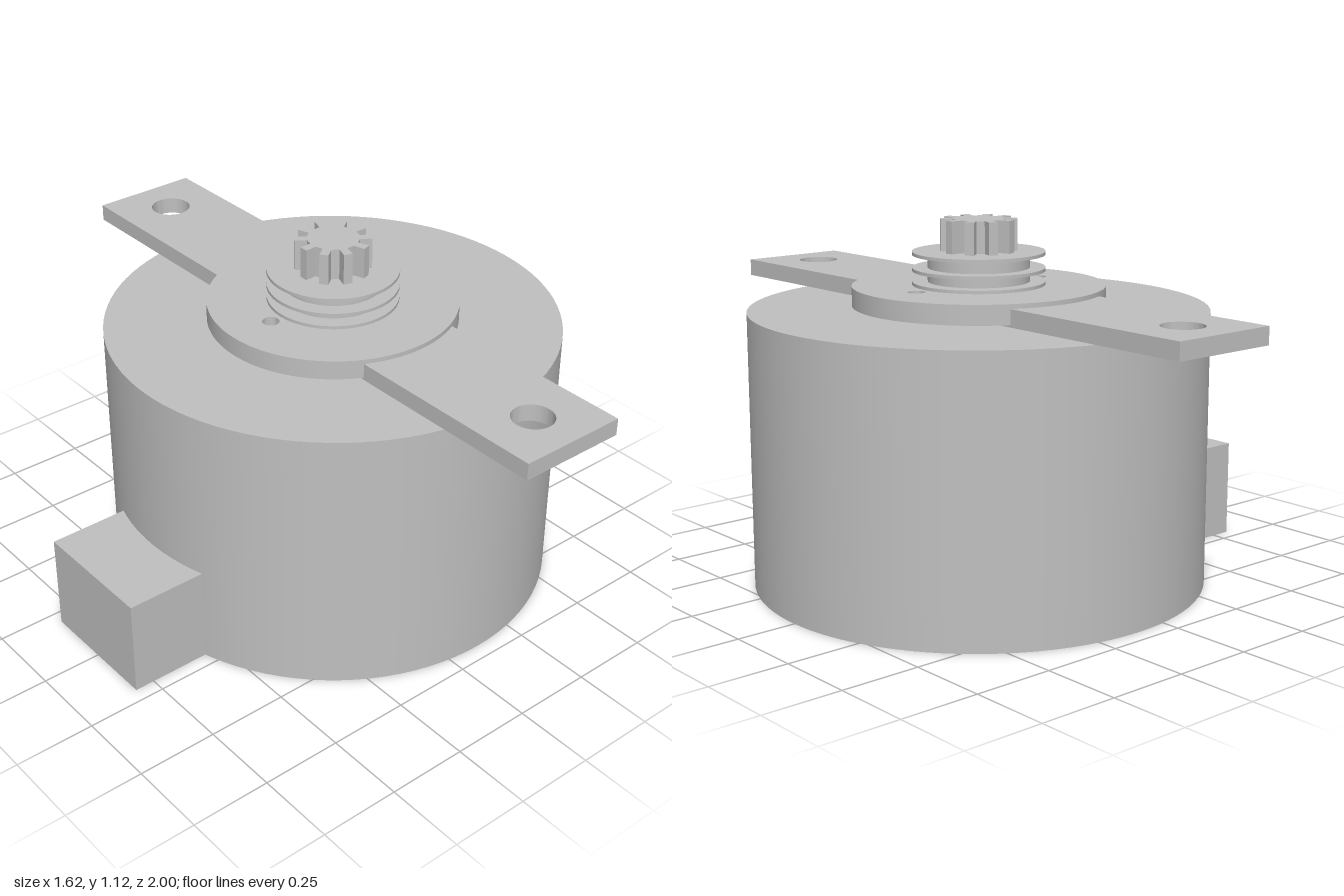
import * as THREE from 'three';
import { toCreasedNormals } from 'three/addons/utils/BufferGeometryUtils.js';

const AXIS_X = 0.11; // motor axis offset

export function createModel() {
  const model = new THREE.Group();
  model.name = 'gearedMotor';
  const grey = new THREE.MeshStandardMaterial({ color: 0xc0c0c0 });
  grey.name = 'grey metal';

  const add = (name, geometry, x = AXIS_X, y = 0, z = 0) => {
    const mesh = new THREE.Mesh(geometry, grey);
    mesh.name = name;
    mesh.position.set(x, y, z);
    model.add(mesh);
    return mesh;
  };
  const disc = (name, r, y0, y1) =>
    add(name, new THREE.CylinderGeometry(r, r, y1 - y0, 96), AXIS_X, (y0 + y1) / 2);
  const hole = (x, y, r) => new THREE.Path().absarc(x, y, r, 0, Math.PI * 2, true);
  // flat shape extruded upwards
  const slab = (name, shape, y0, y1) => {
    const g = new THREE.ExtrudeGeometry(shape, { depth: y1 - y0, bevelEnabled: false, curveSegments: 48 });
    g.rotateX(-Math.PI / 2);
    return add(name, toCreasedNormals(g, 0.5), AXIS_X, y0);
  };

  // main can and side cable housing
  disc('motorBody', 0.70, 0, 0.85);
  add('cableHousing', new THREE.BoxGeometry(0.31, 0.31, 0.41), -0.658, 0.155, 0);

  // mounting strap with a screw hole at each end
  const strap = new THREE.Shape();
  strap.moveTo(-0.173, -1);
  strap.lineTo(0.173, -1);
  strap.lineTo(0.173, 1);
  strap.lineTo(-0.173, 1);
  strap.closePath();
  for (const s of [-1, 1]) strap.holes.push(hole(0, s * 0.847, 0.063));
  slab('mountingStrap', strap, 0.853, 0.906);

  // raised boss and flange with two small pin holes
  disc('flangeBoss', 0.31, 0.845, 0.862);
  const flange = new THREE.Shape().absarc(0, 0, 0.385, 0, Math.PI * 2, false);
  for (const s of [-1, 1]) flange.holes.push(hole(s * 0.24, 0, 0.026));
  slab('flange', flange, 0.86, 0.92);

  // grooved spool: core with three thin rims
  disc('spoolCore', 0.155, 0.915, 1.015);
  [0.921, 0.963, 1.012].forEach((y, i) => disc('spoolRim' + (i + 1), 0.202, y, y + 0.01));

  // toothed pinion
  const teeth = 10, step = (Math.PI * 2) / teeth, points = [];
  for (let i = 0; i < teeth; i++) {
    for (const [r, a] of [[0.08, -0.16], [0.117, -0.12], [0.117, 0.12], [0.08, 0.16]]) {
      const t = i * step + a;
      points.push(new THREE.Vector2(r * Math.cos(t), r * Math.sin(t)));
    }
  }
  slab('pinion', new THREE.Shape(points), 1.015, 1.12);

  return model;
}
